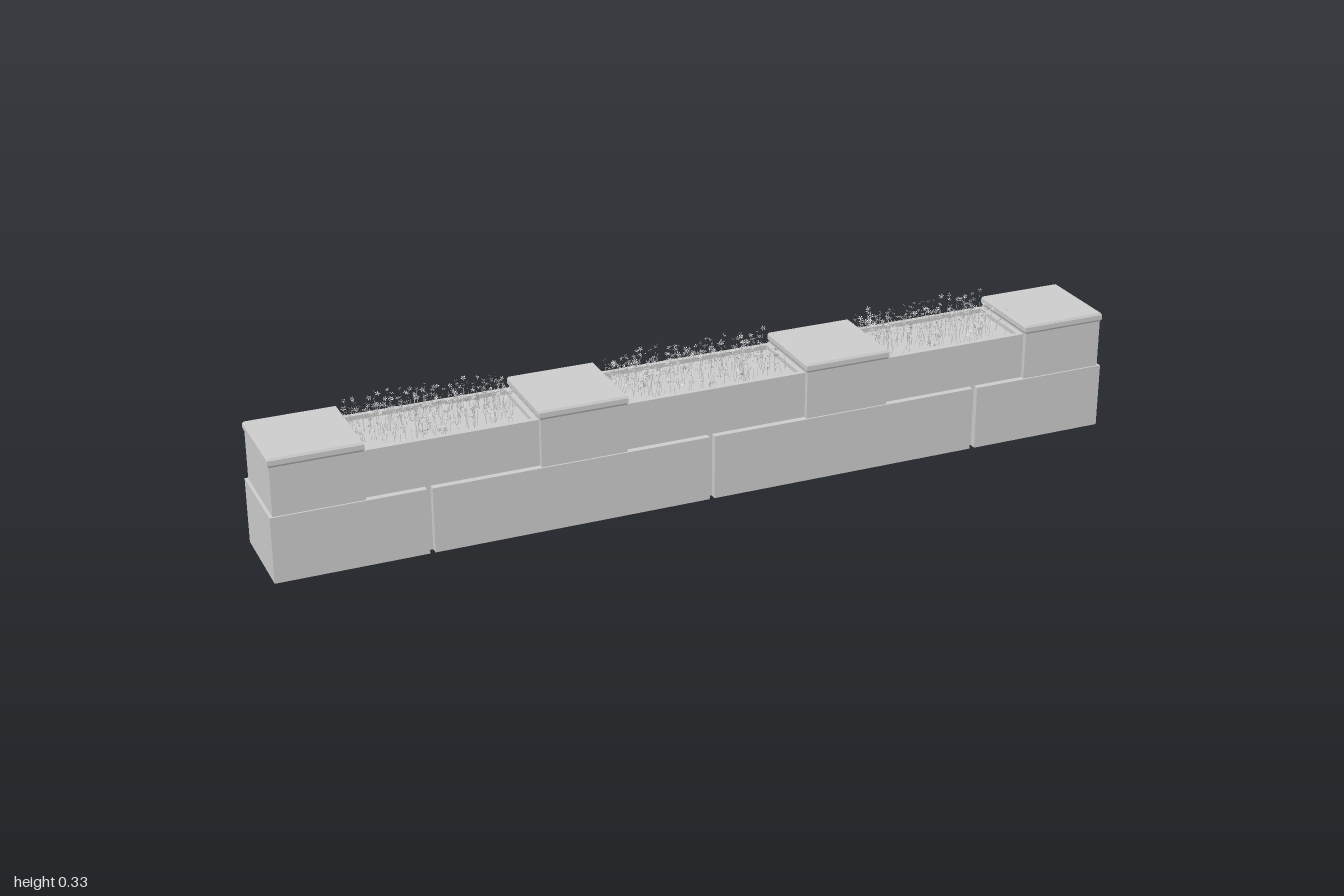
import * as THREE from 'three';

const stone = new THREE.MeshStandardMaterial({ color: 0xcccccc, flatShading: true, side: THREE.DoubleSide });

// Rectangle outline in (x, z), counter-clockwise seen from above
const rect = (x0, x1, z0, z1) => [[x0, z1], [x1, z1], [x1, z0], [x0, z0]];

// Joins stacked rings ({ y, outline }) with walls and closes the last ring; the underside stays open
function loft(rings) {
  const pos = [];
  const put = (ring, i) => pos.push(ring.outline[i][0], ring.y, ring.outline[i][1]);
  for (let r = 0; r < rings.length - 1; r++) {
    const a = rings[r], b = rings[r + 1], n = a.outline.length;
    for (let i = 0; i < n; i++) {
      const j = (i + 1) % n;
      put(a, i); put(a, j); put(b, j);
      put(a, i); put(b, j); put(b, i);
    }
  }
  const top = rings[rings.length - 1];
  const flat = top.outline.map(([x, z]) => new THREE.Vector2(x, -z));
  for (const face of THREE.ShapeUtils.triangulateShape(flat, [])) face.forEach((i) => put(top, i));
  return toGeometry(pos);
}

function toGeometry(pos) {
  const g = new THREE.BufferGeometry();
  g.setAttribute('position', new THREE.Float32BufferAttribute(pos, 3));
  g.computeVertexNormals();
  return g;
}

function seeded(seed) {
  let s = seed;
  return () => (s = (s * 16807) % 2147483647) / 2147483647;
}

// Thin stems topped with small five-leaf heads
function plantGeometry(x0, x1, count, seed) {
  const rnd = seeded(seed), pos = [];
  const mid = (x0 + x1) / 2, half = (x1 - x0) / 2;
  for (let k = 0; k < count; k++) {
    const x = mid + half * (rnd() * 2 - 1) * 0.96;
    const nearMiddle = 1 - Math.abs(x - mid) / half;
    const z = -0.098 + Math.pow(rnd(), 1.25) * (0.14 + 0.05 * nearMiddle);
    const tall = z < -0.02 ? 0.07 : 0.055;
    const edge = Math.min(1, (0.115 - Math.abs(z)) / 0.06);
    const y = 0.258 + rnd() * tall * edge;
    const bx = x + (rnd() - 0.5) * 0.02, bz = Math.max(-0.09, Math.min(0.075, z + (rnd() - 0.5) * 0.02));
    pos.push(bx - 0.0007, 0.248, bz, bx + 0.0007, 0.248, bz, x, y, z);
    const turn = new THREE.Euler((rnd() - 0.5) * 2, rnd() * 6.28, (rnd() - 0.5) * 2);
    const size = 0.004 + rnd() * 0.003;
    for (let i = 0; i < 5; i++) {
      const a = (i / 5) * Math.PI * 2;
      const corners = [[0, 0], [a + 0.3, 0.65], [a, 1], [0, 0], [a, 1], [a - 0.3, 0.65]];
      for (const [t, r] of corners) {
        const v = new THREE.Vector3(Math.cos(t) * r, r * 0.25, -Math.sin(t) * r).multiplyScalar(size).applyEuler(turn);
        pos.push(x + v.x, y + v.y, z + v.z);
      }
    }
  }
  return toGeometry(pos);
}

export function createModel() {
  const model = new THREE.Group();
  const add = (name, geometry) => {
    const mesh = new THREE.Mesh(geometry, stone);
    mesh.name = name;
    model.add(mesh);
  };

  // Lower course: one hollow shell with narrow joints on both faces
  const joints = [-0.655, -0.003, 0.659], gap = 0.006, depth = 0.016, zb = 0.104;
  const base = [[-1, zb]];
  for (const x of joints) base.push([x - gap, zb], [x - gap, zb - depth], [x + gap, zb - depth], [x + gap, zb]);
  base.push([0.996, zb], [0.996, -zb]);
  for (const x of [...joints].reverse()) base.push([x + gap, -zb], [x + gap, depth - zb], [x - gap, depth - zb], [x - gap, -zb]);
  base.push([-1, -zb]);
  add('lowerCourse', loft([{ y: 0, outline: base }, { y: 0.152, outline: base }]));

  // Tall blocks with a slightly swollen cap edge
  const blocks = [[-0.993, -0.793], [-0.402, -0.204], [0.23, 0.43], [0.79, 0.989]];
  blocks.forEach(([x0, x1], i) => {
    const ring = (y, e) => ({ y, outline: rect(x0 - e, x1 + e, -0.1 - e, 0.1 + e) });
    add('tallBlock' + (i + 1), loft([ring(0.08, 0), ring(0.264, 0), ring(0.269, 0.003), ring(0.28, 0.003), ring(0.285, 0)]));
  });

  // Planters between the tall blocks: outer walls, thin rim, sunken soil, then plants
  for (let i = 0; i < 3; i++) {
    const x0 = blocks[i][1], x1 = blocks[i + 1][0];
    const outer = rect(x0, x1, -0.1, 0.089), inner = rect(x0 + 0.012, x1 - 0.012, -0.088, 0.077);
    add('planter' + (i + 1), loft([
      { y: 0.08, outline: outer }, { y: 0.26, outline: outer },
      { y: 0.26, outline: inner }, { y: 0.25, outline: inner },
    ]));
    add('plants' + (i + 1), plantGeometry(x0, x1 - 0.015, Math.round((x1 - x0) * 800), 1234 + i * 777));
  }
  return model;
}
